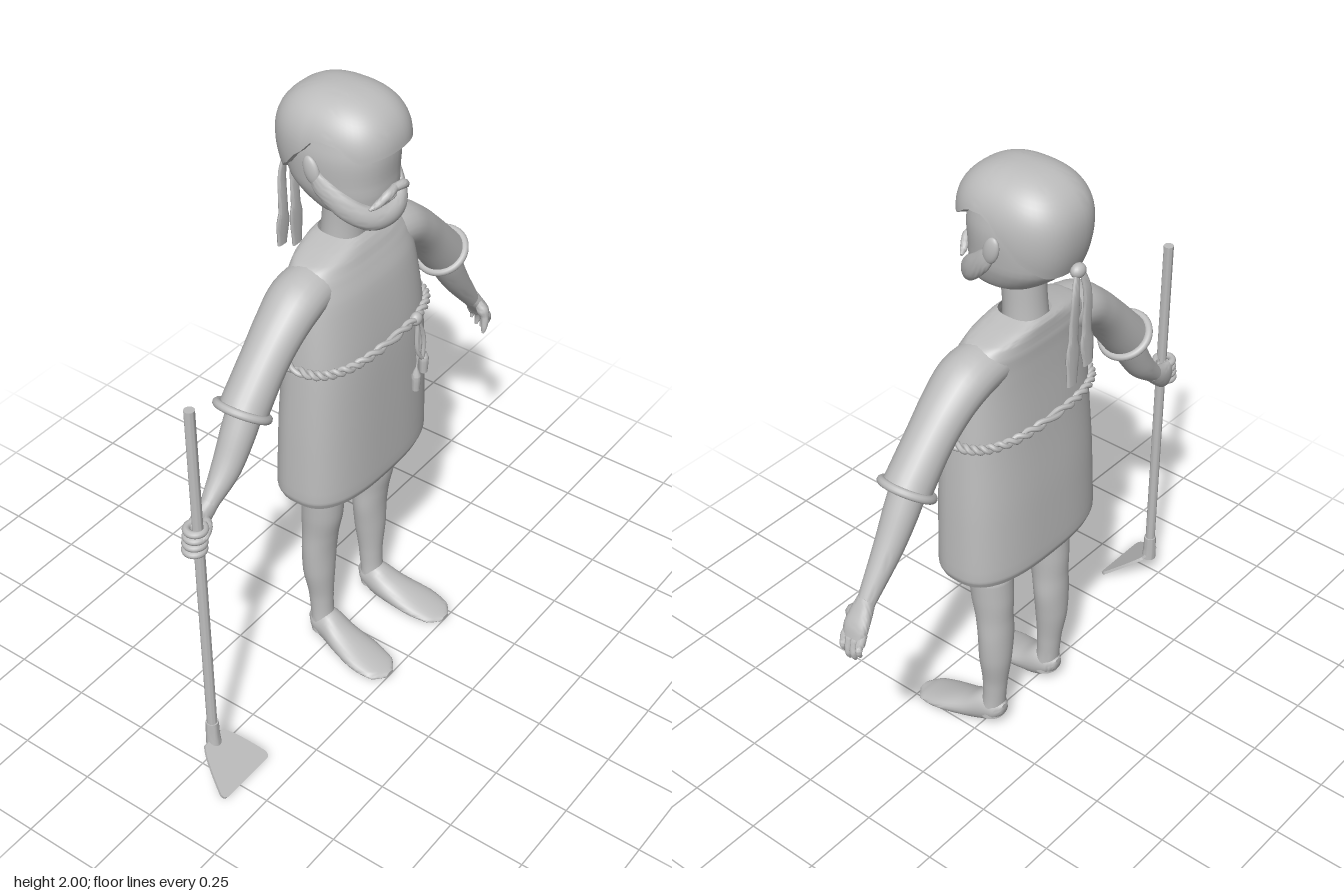
import * as THREE from 'three';
import { toCreasedNormals } from 'three/addons/utils/BufferGeometryUtils.js';

const V = (x, y, z) => new THREE.Vector3(x, y, z);
const X = V(1, 0, 0), Y = V(0, 1, 0), Z = V(0, 0, 1);
const CX = 0.05; // the figure stands a little off centre, the tool balances it
const clay = new THREE.MeshStandardMaterial({ color: 0xbdbdbd, side: THREE.DoubleSide });
clay.name = 'plain grey';

function mesh(name, geometry, parent) {
  const m = new THREE.Mesh(geometry, clay);
  m.name = name;
  parent.add(m);
  return m;
}

// Skin a list of rings (arrays of Vector3 of equal length)
function skin(rings, crease = 0.9) {
  const n = rings[0].length, pos = [], idx = [];
  rings.forEach(r => r.forEach(p => pos.push(p.x, p.y, p.z)));
  for (let i = 0; i < rings.length - 1; i++) for (let j = 0; j < n; j++) {
    const a = i * n + j, b = i * n + (j + 1) % n;
    idx.push(a, b, a + n, b, b + n, a + n);
  }
  const g = new THREE.BufferGeometry();
  g.setAttribute('position', new THREE.Float32BufferAttribute(pos, 3));
  g.setIndex(idx);
  return toCreasedNormals(g, crease);
}

const spow = (v, e) => Math.sign(v) * Math.pow(Math.abs(v), e);

// Sweep a superellipse along points [x, y, z, radius along side, other radius]
function sweep(pts, { side = Z, axis = null, p = 2, seg = 24, steps = 5, caps = true } = {}) {
  const path = new THREE.CatmullRomCurve3(pts.map(q => V(q[0], q[1], q[2])));
  const size = new THREE.CatmullRomCurve3(pts.map(q => V(q[3], q[4] ?? q[3], 0)));
  const n = (pts.length - 1) * steps, rings = [];
  for (let i = 0; i <= n; i++) {
    const c = path.getPoint(i / n), r = size.getPoint(i / n);
    const t = axis || path.getTangent(i / n);
    const v = side.clone().addScaledVector(t, -side.dot(t)).normalize();
    const u = t.clone().cross(v);
    const ring = [];
    for (let j = 0; j < seg; j++) {
      const a = j / seg * Math.PI * 2;
      ring.push(c.clone().addScaledVector(v, r.x * spow(Math.cos(a), 2 / p))
        .addScaledVector(u, r.y * spow(Math.sin(a), 2 / p)));
    }
    rings.push(ring);
  }
  if (caps) {
    rings.unshift(rings[0].map(() => path.getPoint(0)));
    rings.push(rings[1].map(() => path.getPoint(1)));
  }
  return skin(rings);
}

function ball(name, parent, x, y, z, rx, ry, rz) {
  const m = mesh(name, new THREE.SphereGeometry(1, 20, 14), parent);
  m.position.set(x, y, z);
  m.scale.set(rx, ry, rz);
  return m;
}

// Cloth cap with a wavy lower edge, higher over the ears and low at the nape
function capGeometry() {
  const edge = [[-0.24, 1.72], [-0.215, 1.725], [-0.15, 1.775], [-0.09, 1.835], [-0.03, 1.895],
    [0.035, 1.89], [0.1, 1.845], [0.15, 1.855]];
  const edgeY = z => {
    for (let k = 1; k < edge.length; k++) if (z <= edge[k][0]) {
      const [z0, y0] = edge[k - 1], [z1, y1] = edge[k];
      return THREE.MathUtils.lerp(y0, y1, THREE.MathUtils.smoothstep(z, z0, z1) * 0.4 + 0.6 * (z - z0) / (z1 - z0));
    }
    return 1.855;
  };
  const rings = [], n = 56, rows = 18;
  for (let i = 0; i <= rows + 1; i++) {
    const ring = [];
    for (let j = 0; j < n; j++) {
      const a = j / n * Math.PI * 2;
      const cx = spow(Math.cos(a), 0.82), cz = spow(Math.sin(a), 0.82);
      const low = edgeY(-0.046 + 0.192 * cz);
      const t = Math.min(i / rows, 1);
      const y = 2 - (2 - low) * (1 - Math.cos(t * Math.PI / 2));
      const h = (y - 1.845) / 0.155;
      let f = h > 0 ? Math.pow(Math.max(0, 1 - Math.pow(h, 2.3)), 1 / 2.3) : 1 - 0.2 * h * h;
      if (i > rows) f *= 0.86; // lip turned in under the edge
      ring.push(V(CX + 0.16 * f * cx, y, -0.046 + 0.192 * f * cz));
    }
    rings.push(ring);
  }
  return skin(rings);
}

function buildHead(parent) {
  const up = { side: X, axis: Y, p: 2.3, seg: 36 };
  mesh('neck', sweep([[CX, 1.5, -0.05, 0.07, 0.066], [CX, 1.58, -0.045, 0.067, 0.063], [CX, 1.7, -0.035, 0.07, 0.066]],
    { side: X, axis: Y }), parent);
  mesh('head', sweep([[CX, 1.612, 0.04, 0.05, 0.05], [CX, 1.65, -0.005, 0.108, 0.115], [CX, 1.72, -0.042, 0.135, 0.158],
    [CX, 1.82, -0.05, 0.143, 0.168], [CX, 1.9, -0.05, 0.13, 0.155]], up), parent);
  mesh('cap', capGeometry(), parent);
  // Beard runs along the jaw from ear to ear
  const half = [[0.147, 1.8, -0.055, 0.014, 0.008], [0.142, 1.745, -0.015, 0.03, 0.016],
    [0.115, 1.685, 0.05, 0.036, 0.022], [0.065, 1.645, 0.098, 0.036, 0.026]];
  const at = (q, s) => [CX + s * q[0], ...q.slice(1)];
  mesh('beard', sweep([...half.map(q => at(q, -1)), [CX, 1.636, 0.112, 0.034, 0.028],
    ...half.slice().reverse().map(q => at(q, 1))], { side: Y }), parent);
  for (const s of [-1, 1]) {
    mesh('moustache', sweep([[CX - s * 0.004, 1.725, 0.128, 0.012], [CX + s * 0.035, 1.722, 0.133, 0.014],
      [CX + s * 0.07, 1.698, 0.118, 0.011], [CX + s * 0.092, 1.69, 0.108, 0.004]], { side: Y, seg: 12 }), parent);
    ball('ear', parent, CX + s * 0.148, 1.79, -0.048, 0.014, 0.045, 0.026).rotation.x = -0.3;
    // Cap ribbons hang from the knot at the back
    const end = s > 0 ? 1.375 : 1.41;
    mesh('ribbon', sweep([[CX + s * 0.01, 1.735, -0.236, 0.008, 0.006], [CX + s * 0.026, 1.66, -0.246, 0.016, 0.006],
      [CX + s * 0.03, 1.52, -0.243, 0.02, 0.006], [CX + s * 0.036, end, -0.245, 0.02, 0.006]],
      { side: X, seg: 12, p: 3 }), parent);
  }
  ball('capKnot', parent, CX, 1.73, -0.233, 0.026, 0.022, 0.02);
  ball('lip', parent, CX, 1.69, 0.112, 0.03, 0.01, 0.014);
}

function buildTunic(parent) {
  mesh('tunic', sweep([[CX, 1.537, -0.045, 0.07, 0.07], [CX, 1.522, -0.043, 0.13, 0.083], [CX, 1.5, -0.038, 0.2, 0.09],
    [CX, 1.465, -0.032, 0.238, 0.098], [CX, 1.4, -0.02, 0.252, 0.11], [CX, 1.2, -0.01, 0.274, 0.13],
    [CX, 0.95, -0.013, 0.288, 0.142], [CX, 0.72, -0.015, 0.294, 0.147], [CX, 0.69, -0.015, 0.284, 0.138]],
    { side: X, axis: Y, p: 2.7, seg: 56, caps: false }), parent);
  // Two cords twisted around the waist
  for (const phase of [0, Math.PI]) {
    const pts = [];
    for (let i = 0; i < 240; i++) {
      const a = i / 240 * Math.PI * 2, w = a * 20 + phase, o = 0.008 + 0.007 * Math.cos(w);
      pts.push(V(CX + (0.274 + o) * spow(Math.cos(a), 0.74), 1.2 + 0.008 * Math.sin(w),
        -0.01 + (0.13 + o) * spow(Math.sin(a), 0.74)));
    }
    mesh('beltCord', new THREE.TubeGeometry(new THREE.CatmullRomCurve3(pts, true), 320, 0.0085, 7, true), parent);
  }
  ball('beltKnot', parent, 0.18, 1.198, 0.125, 0.022, 0.022, 0.018);
  for (const [x, y] of [[0.175, 0.94], [0.215, 0.985]]) {
    mesh('beltTail', sweep([[0.18, 1.2, 0.127, 0.008], [(x + 0.18) / 2 + 0.008, 1.11, 0.133, 0.009],
      [x, y + 0.07, 0.134, 0.009], [x, y + 0.05, 0.134, 0.015], [x, y, 0.133, 0.013]], { seg: 10 }), parent);
  }
  mesh('beltLoop', sweep([[0.18, 1.2, 0.128, 0.007], [0.205, 1.13, 0.136, 0.007], [0.198, 1.05, 0.138, 0.007],
    [0.178, 1.08, 0.136, 0.007], [0.178, 1.19, 0.13, 0.007]], { seg: 10 }), parent);
}

function buildArm(parent, s) {
  const at = (d, ...rest) => [CX + s * d, ...rest];
  mesh('sleeve', sweep([at(0.1, 1.44, -0.035, 0.08, 0.065), at(0.24, 1.42, -0.033, 0.087, 0.073),
    at(0.32, 1.37, -0.032, 0.08, 0.068), at(0.4, 1.295, -0.032, 0.073, 0.066), at(0.5, 1.18, -0.032, 0.073, 0.073)]), parent);
  const cuff = mesh('cuff', new THREE.TorusGeometry(0.077, 0.013, 12, 40), parent);
  cuff.position.set(CX + s * 0.5, 1.18, -0.034);
  cuff.quaternion.setFromUnitVectors(Z, V(s * 0.57, -0.82, 0).normalize());
  const wrist = s > 0 ? at(0.69, 0.885, -0.033, 0.027, 0.027) : at(0.665, 0.945, -0.035, 0.025, 0.028);
  mesh('forearm', sweep([at(0.47, 1.215, -0.032, 0.055), at(0.525, 1.12, -0.032, 0.052), at(0.585, 1.025, -0.033, 0.044), wrist]), parent);
}

function buildOpenHand(parent) {
  mesh('palm', sweep([[0.732, 0.9, -0.033, 0.026, 0.026], [0.757, 0.865, -0.033, 0.036, 0.023],
    [0.782, 0.83, -0.034, 0.042, 0.02], [0.796, 0.8, -0.036, 0.038, 0.015]], { p: 2.4 }), parent);
  [-0.066, -0.046, -0.026, -0.006].forEach((z, i) => {
    const tip = [0.755, 0.735, 0.732, 0.75][i];
    mesh('finger', sweep([[0.785, 0.82, z, 0.011], [0.806, 0.785, z, 0.011], [0.813, tip + 0.022, z - 0.003, 0.0105],
      [0.807, tip, z - 0.004, 0.005]], { seg: 10 }), parent);
  });
  mesh('thumb', sweep([[0.75, 0.875, -0.012, 0.014], [0.752, 0.83, 0.014, 0.014], [0.744, 0.79, 0.02, 0.011],
    [0.738, 0.768, 0.02, 0.005]], { seg: 10 }), parent);
}

function buildGrip(parent) {
  mesh('gripPalm', sweep([[-0.6, 0.955, -0.035, 0.026, 0.028], [-0.645, 0.925, -0.034, 0.024, 0.037],
    [-0.685, 0.905, -0.03, 0.02, 0.046], [-0.71, 0.9, -0.026, 0.014, 0.042]]), parent);
  for (let i = 0; i < 4; i++) {
    const f = mesh('grippingFinger', new THREE.TorusGeometry(0.027, 0.012, 10, 24, Math.PI * 1.7), parent);
    f.position.set(-0.718 + i * 0.003, 0.868 + i * 0.023, -0.006);
    f.rotation.set(Math.PI / 2, 0, 0.3);
  }
  mesh('grippingThumb', sweep([[-0.65, 0.925, -0.02, 0.015], [-0.675, 0.93, 0.012, 0.013], [-0.705, 0.92, 0.025, 0.011],
    [-0.725, 0.91, 0.024, 0.006]], { side: Y, seg: 10 }), parent);
}

function buildLeg(parent, s) {
  const x = CX + s * 0.137;
  mesh('leg', sweep([[x, 0.655, -0.026, 0.035, 0.035], [x, 0.637, -0.026, 0.071, 0.066], [x, 0.55, -0.03, 0.067, 0.066],
    [x, 0.47, -0.037, 0.062, 0.057], [x, 0.4, -0.042, 0.063, 0.053], [x + s * 0.003, 0.3, -0.042, 0.055, 0.05],
    [x, 0.2, -0.037, 0.041, 0.04], [x, 0.13, -0.033, 0.039, 0.037], [x, 0.05, -0.025, 0.045, 0.04]],
    { side: X, axis: Y.clone().negate() }), parent);
  mesh('foot', sweep([[x, 0.085, -0.073, 0.018, 0.02], [x, 0.078, -0.05, 0.04, 0.042], [x, 0.068, 0, 0.05, 0.06],
    [x + s * 0.008, 0.046, 0.06, 0.06, 0.045], [x + s * 0.018, 0.027, 0.15, 0.07, 0.026],
    [x + s * 0.022, 0.015, 0.22, 0.058, 0.014], [x + s * 0.022, 0.01, 0.252, 0.02, 0.007]], { side: X, axis: Z }), parent);
}

function buildHoe(parent) {
  mesh('handle', sweep([[-0.719, 0.1, 0.022, 0.016], [-0.71, 1.365, -0.002, 0.016]], { seg: 20, steps: 1 }), parent);
  mesh('socket', sweep([[-0.719, 0.085, 0.024, 0.024], [-0.719, 0.12, 0.022, 0.022], [-0.718, 0.175, 0.021, 0.02]], { seg: 20 }), parent);
  // Blade leans forward from the socket down to the ground
  const shape = new THREE.Shape();
  shape.moveTo(-0.04, 0);
  shape.lineTo(0.04, 0);
  shape.quadraticCurveTo(0.065, -0.02, 0.108, -0.14);
  shape.quadraticCurveTo(0.11, -0.158, 0.095, -0.16);
  shape.lineTo(-0.095, -0.16);
  shape.quadraticCurveTo(-0.11, -0.158, -0.108, -0.14);
  shape.quadraticCurveTo(-0.065, -0.02, -0.04, 0);
  const blade = mesh('blade', new THREE.ExtrudeGeometry(shape, { depth: 0.01, bevelEnabled: false, curveSegments: 8 }), parent);
  blade.position.set(-0.718, 0.097, 0.018);
  blade.rotation.x = -0.93;
}

export function createModel() {
  const root = new THREE.Group();
  root.name = 'farmer';
  const part = name => {
    const g = new THREE.Group();
    g.name = name;
    root.add(g);
    return g;
  };
  buildHead(part('headGroup'));
  buildTunic(part('tunicGroup'));
  for (const s of [-1, 1]) {
    const word = s > 0 ? 'left' : 'right';
    buildArm(part(word + 'Arm'), s);
    buildLeg(part(word + 'Leg'), s);
  }
  buildOpenHand(part('leftHand'));
  buildGrip(part('rightHand'));
  buildHoe(part('hoe'));
  return root;
}
